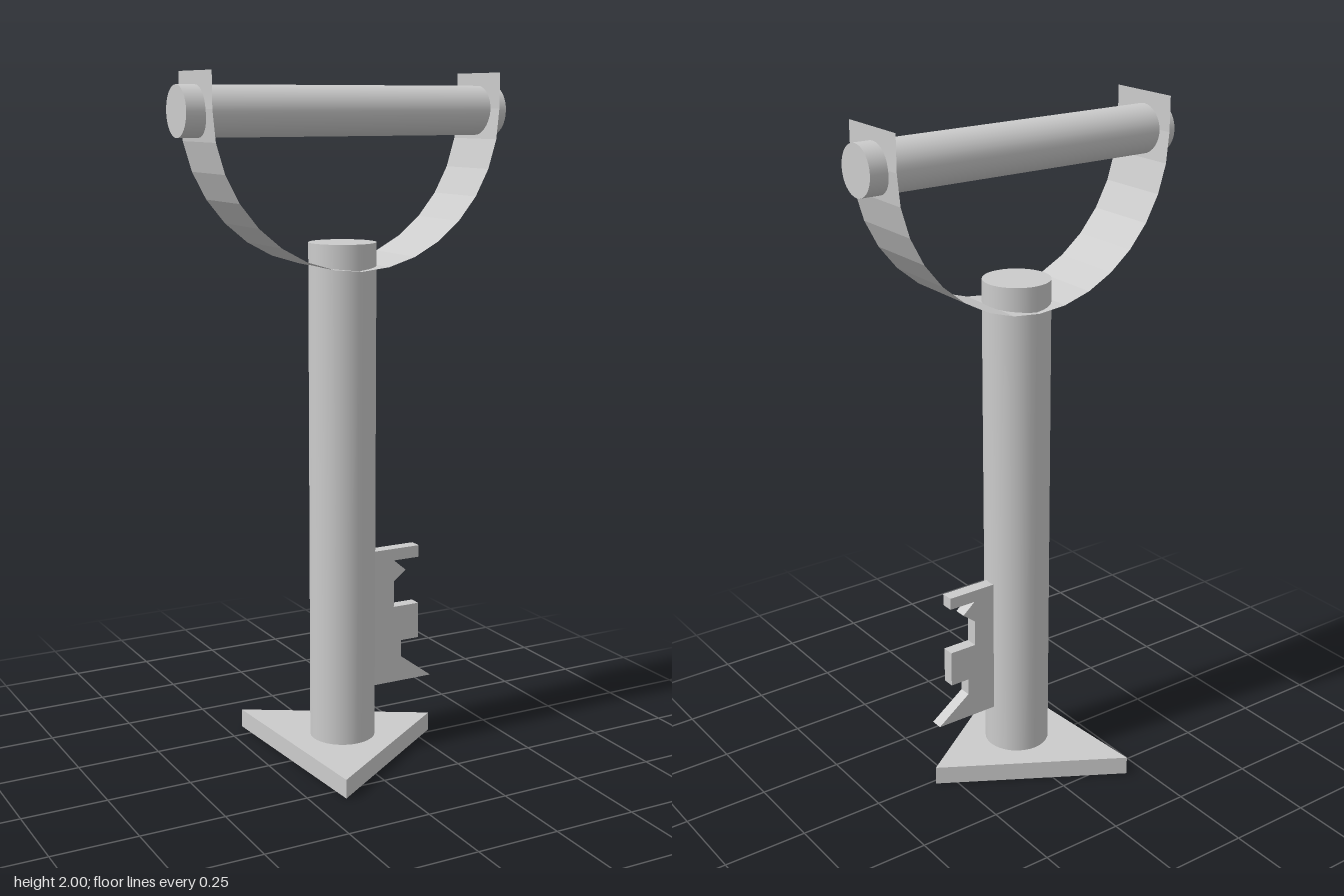
import * as THREE from 'three';

const material = new THREE.MeshStandardMaterial({ color: 0xcccccc });
const flatMaterial = new THREE.MeshStandardMaterial({ color: 0xcccccc, flatShading: true });
const bandMaterial = new THREE.MeshStandardMaterial({ color: 0xcccccc, flatShading: true, side: THREE.DoubleSide });

// Flat outline pushed out to the given thickness
function plate(points, depth) {
  const shape = new THREE.Shape(points.map(([x, y]) => new THREE.Vector2(x, y)));
  return new THREE.ExtrudeGeometry(shape, { depth, bevelEnabled: false });
}

// Thin U-shaped strip: two straight tips joined by a half circle
function bandGeometry(radius, centerY, topY, width, steps) {
  const path = [[-radius, topY]];
  for (let i = 0; i <= steps; i++) {
    const a = Math.PI + (i / steps) * Math.PI;
    path.push([radius * Math.cos(a), centerY + radius * Math.sin(a)]);
  }
  path.push([radius, topY]);
  const geometry = new THREE.PlaneGeometry(1, 1, path.length - 1, 1);
  const position = geometry.attributes.position;
  for (let i = 0; i < position.count; i++) {
    const [x, y] = path[i % path.length];
    position.setXYZ(i, x, y, i < path.length ? -width / 2 : width / 2);
  }
  geometry.computeVertexNormals();
  return geometry;
}

export function createModel() {
  const group = new THREE.Group();
  const add = (name, geometry, mat, x = 0, y = 0, z = 0) => {
    const mesh = new THREE.Mesh(geometry, mat);
    mesh.name = name;
    mesh.position.set(x, y, z);
    group.add(mesh);
    return mesh;
  };

  // Triangular foot, outline given as x and -z
  const foot = plate([[-0.196, 0.31], [-0.154, -0.305], [0.306, 0.015]], 0.056);
  foot.rotateX(-Math.PI / 2);
  add('base', foot, flatMaterial);

  // Round shaft, passing through the bottom of the band
  const bottom = 0.04, top = 1.53;
  add('shaft', new THREE.CylinderGeometry(0.097, 0.097, top - bottom, 32), material,
    -0.003, (top + bottom) / 2, -0.003);

  // Toothed key bit
  const bit = plate([
    [0, 0.195], [0.29, 0.195], [0.186, 0.272], [0.186, 0.323], [0.245, 0.323],
    [0.245, 0.432], [0.16, 0.432], [0.16, 0.512], [0.2, 0.543], [0.16, 0.577],
    [0.245, 0.577], [0.245, 0.613], [0, 0.613],
  ], 0.037);
  add('keyBit', bit, flatMaterial, 0, 0, -0.018);

  // U-shaped band and the cross bar through its tips
  add('band', bandGeometry(0.444, 1.9, 2, 0.226, 16), bandMaterial, -0.001, 0, -0.002);
  const bar = new THREE.CylinderGeometry(0.07, 0.07, 0.995, 32);
  bar.rotateZ(Math.PI / 2);
  add('handleBar', bar, material, -0.002, 1.894, -0.004);

  return group;
}
